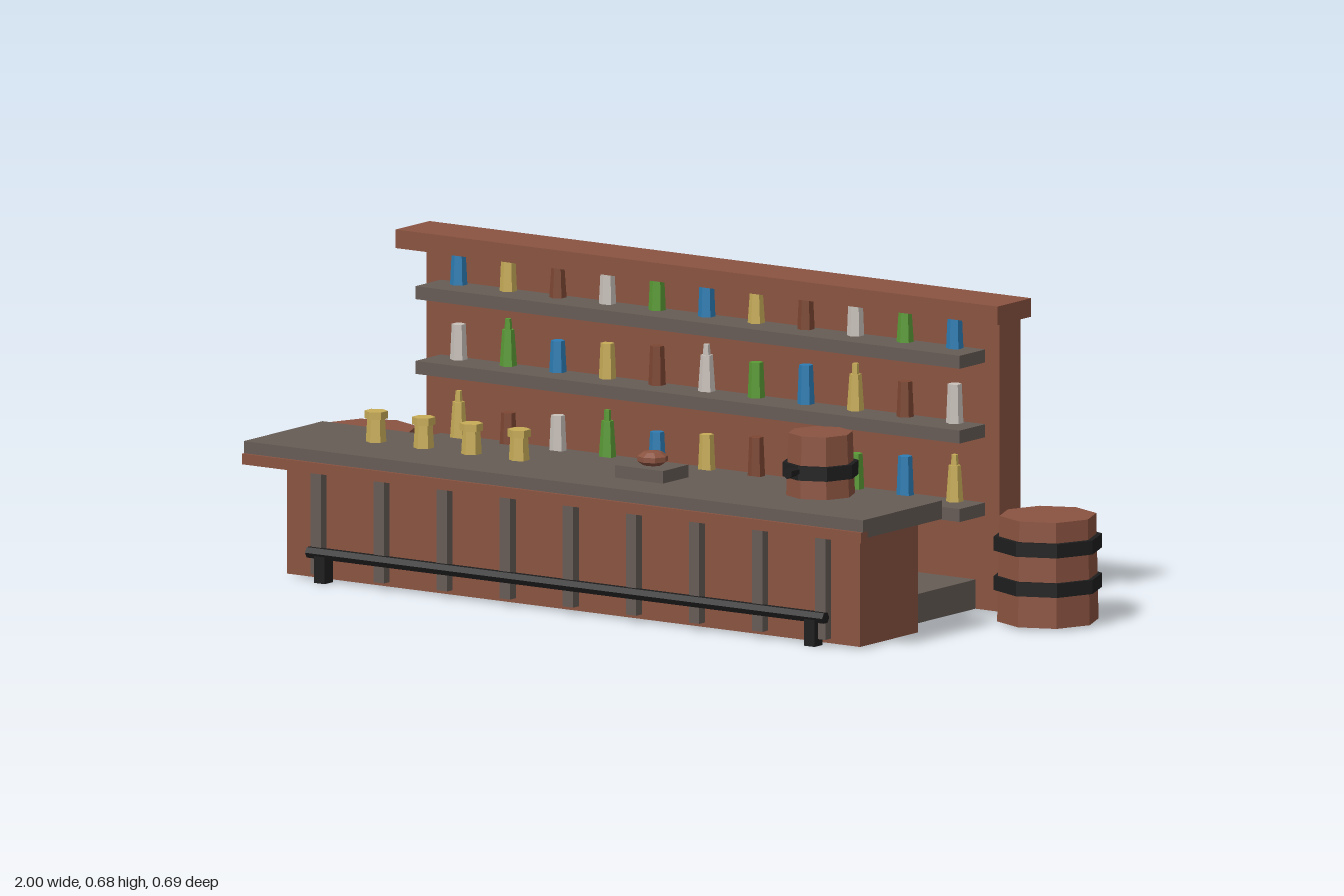
import * as THREE from 'three';

const mat = (name, color) => {
  const m = new THREE.MeshStandardMaterial({ color, flatShading: true });
  m.name = name;
  return m;
};

export function createModel() {
  const wood = mat('brown wood', 0x8a5340);
  const grey = mat('weathered grey wood', 0x675c56);
  const iron = mat('black iron', 0x1e1e1e);
  const brass = mat('yellow', 0xc8ad58);
  const blue = mat('blue glass', 0x2c7db5);
  const white = mat('pale glass', 0xcac2bb);
  const green = mat('green glass', 0x5a9b35);
  const amber = mat('brown glass', 0x7d4733);

  const root = new THREE.Group();
  root.name = 'tavernBar';

  const add = (parent, name, geo, material, x = 0, y = 0, z = 0) => {
    const m = new THREE.Mesh(geo, material);
    m.name = name;
    m.position.set(x, y, z);
    parent.add(m);
    return m;
  };
  // Box given by width, centre x, and y / z ranges
  const box = (name, material, x, w, y0, y1, z0, z1) =>
    add(root, name, new THREE.BoxGeometry(w, y1 - y0, z1 - z0), material, x, (y0 + y1) / 2, (z0 + z1) / 2);
  // Faceted upright cylinder standing on y0
  const drum = (parent, name, material, rTop, rBottom, y0, y1, sides) =>
    add(parent, name, new THREE.CylinderGeometry(rTop, rBottom, y1 - y0, sides), material, 0, (y0 + y1) / 2, 0);
  const group = (name, x, y, z) => {
    const g = new THREE.Group();
    g.name = name;
    g.position.set(x, y, z);
    root.add(g);
    return g;
  };

  // Back wall, cap and floor platform
  box('backWall', wood, 0, 1.49, 0.005, 0.625, -0.322, -0.245);
  box('wallCap', wood, 0, 1.565, 0.635, 0.675, -0.308, -0.185);
  box('floorPlatform', grey, 0, 1.365, 0.005, 0.068, -0.245, 0.042);

  // Counter
  box('counterBody', wood, 0, 1.49, 0.005, 0.255, 0.053, 0.264);
  box('counterTop', grey, 0, 1.61, 0.255, 0.295, 0.05, 0.338);
  box('counterEdgeTrim', wood, 0, 1.61, 0.246, 0.269, 0.322, 0.345);
  for (let i = 0; i < 9; i++) box('counterBatten', grey, -0.656 + i * 0.164, 0.027, 0.015, 0.255, 0.262, 0.285);

  // Foot rail on two brackets
  add(root, 'footRail', new THREE.CylinderGeometry(0.013, 0.013, 1.345, 6), iron, 0, 0.063, 0.288)
    .rotation.z = Math.PI / 2;
  for (const s of [-1, 1]) box('footRailBracket', iron, s * 0.637, 0.027, 0, 0.064, 0.268, 0.298);

  // Shelves, each with a row of bottles
  const glass = [blue, brass, amber, white, green];
  const necked = [[2, 6, 9], [1, 5, 8], [0, 3, 7, 10]];
  [0.566, 0.405, 0.236].forEach((top, row) => {
    box('shelf', grey, 0, 1.415, top - 0.028, top, -0.245, -0.152);
    for (let i = 0; i < 11; i++) {
      const m = glass[(i + row * 3) % 5];
      const h = 0.068 + 0.008 * ((i + row) % 3);
      const b = group('bottle', -0.645 + i * 0.129, top, -0.222);
      if (necked[row].includes(i)) {
        drum(b, 'bottleBody', m, 0.013, 0.0185, 0, 0.078, 6);
        drum(b, 'bottleNeck', m, 0.007, 0.008, 0.078, row === 0 ? 0.08 : 0.101, 6);
      } else {
        drum(b, 'bottleBody', m, 0.015, 0.0185, 0, h, 6);
      }
    }
  });

  // Large barrels at both ends
  for (const s of [-1, 1]) {
    const b = group('barrel', s * 0.8835, 0, -0.227);
    drum(b, 'barrelStaves', wood, 0.104, 0.109, 0.005, 0.232, 8);
    for (const y of [0.073, 0.158]) drum(b, 'barrelHoop', iron, 0.1165, 0.1165, y, y + 0.03, 8);
  }

  // Small keg with tap
  const keg = group('keg', 0.558, 0.295, 0.146);
  drum(keg, 'kegStaves', wood, 0.069, 0.074, 0.002, 0.136, 8);
  drum(keg, 'kegHoop', iron, 0.082, 0.082, 0.043, 0.073, 8);
  add(keg, 'kegTap', new THREE.CylinderGeometry(0.012, 0.009, 0.033, 6), iron, 0, 0.064, 0.105)
    .rotation.x = Math.PI / 2;

  // Mugs
  for (let i = 0; i < 4; i++) {
    const mug = group('mug', -0.575 + i * 0.124, 0.295, 0.178);
    drum(mug, 'mugBody', brass, 0.019, 0.022, 0, 0.05, 6);
    drum(mug, 'mugRim', brass, 0.025, 0.025, 0.05, 0.066, 6);
  }

  // Serving board with a loaf
  box('servingBoard', grey, 0.147, 0.124, 0.295, 0.322, 0.138, 0.232);
  add(root, 'loaf', new THREE.SphereGeometry(0.035, 8, 5), wood, 0.147, 0.336, 0.182).scale.y = 0.5;

  return root;
}
